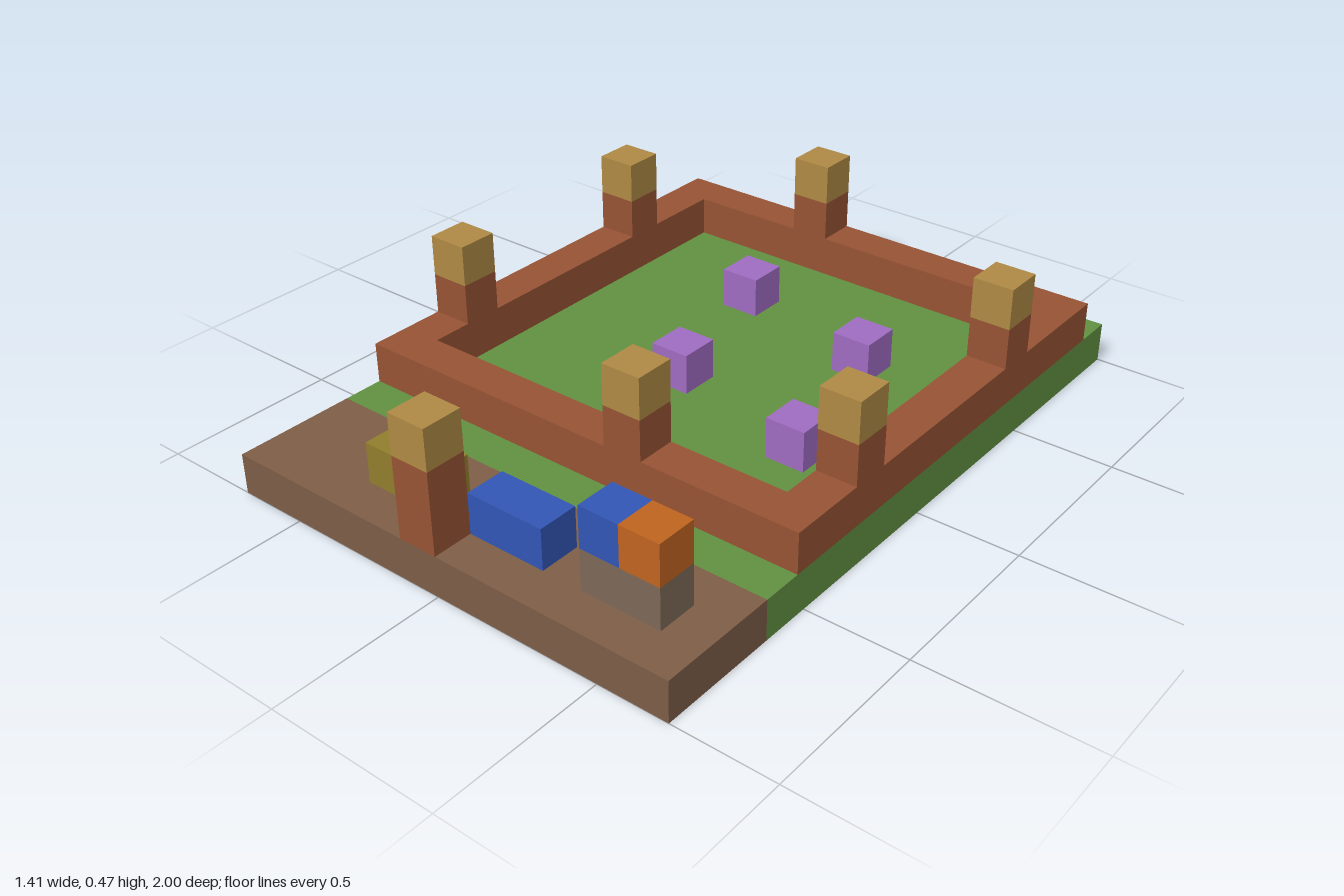
import * as THREE from 'three';

const U = 2 / 17; // one block

const mat = (name, color) => {
  const m = new THREE.MeshStandardMaterial({ color });
  m.name = name;
  return m;
};

export function createModel() {
  const grass = mat('grass', 0x629141);
  const dirt = mat('dirt', 0x7d5d47);
  const path = mat('path', 0x887042);
  const brick = mat('brick', 0x965334);
  const tan = mat('tan', 0xb08945);
  const olive = mat('olive', 0x917e2c);
  const blue = mat('blue', 0x3256b4);
  const orange = mat('orange', 0xc06420);
  const stone = mat('stone', 0x7c6857);
  const purple = mat('purple', 0xa06cc2);

  const model = new THREE.Group();
  model.name = 'walledGarden';

  // Box from its low corner and size, all in blocks
  const block = (name, material, x, y, z, w, h, d, parent = model) => {
    const mesh = new THREE.Mesh(new THREE.BoxGeometry(w * U, h * U, d * U), material);
    mesh.position.set((x + w / 2) * U, (y + h / 2) * U, (z + d / 2) * U);
    mesh.name = name;
    parent.add(mesh);
  };

  // Ground: dirt road in front, lawn, and a path patch at the back edge
  block('road', dirt, -6, 0, 5.5, 12, 1, 3);
  block('lawn', grass, -6, 0, -7.5, 12, 1, 13);
  block('backLawnRight', grass, -6, 0, -8.5, 5, 1, 1);
  block('backPath', path, -1, 0, -8.5, 3, 1, 1);
  block('backLawnLeft', grass, 2, 0, -8.5, 4, 1, 1);

  // Rectangular wall, one block thick
  const outline = new THREE.Shape();
  outline.moveTo(-6 * U, -4.5 * U).lineTo(6 * U, -4.5 * U).lineTo(6 * U, 7.5 * U).lineTo(-6 * U, 7.5 * U);
  const yard = new THREE.Path();
  yard.moveTo(-5 * U, -3.5 * U).lineTo(-5 * U, 6.5 * U).lineTo(5 * U, 6.5 * U).lineTo(5 * U, -3.5 * U);
  outline.holes.push(yard);
  const wall = new THREE.Mesh(
    new THREE.ExtrudeGeometry(outline, { depth: U, bevelEnabled: false }).rotateX(-Math.PI / 2), brick);
  wall.position.y = U;
  wall.name = 'wall';
  model.add(wall);

  // Lamp posts: brick shaft with a tan cap; the last one stands on the road
  const posts = [[-2, -7.5, 2], [1, 3.5, 2], [-1, 7.5, 1]];
  for (const x of [-6, 5]) for (const z of [-4.5, 1.5]) posts.push([x, z, 2]);
  for (const [x, z, base] of posts) {
    const post = new THREE.Group();
    post.name = 'post';
    block('shaft', brick, x, base, z, 1, 3 - base, 1, post);
    block('cap', tan, x, 3, z, 1, 1, 1, post);
    model.add(post);
  }

  // Flower cubes on the lawn
  for (const [x, z] of [[-2, -4.5], [2, -3.5], [-1, -0.5], [3, 0.5]]) {
    block('flower', purple, x, 1, z, 1, 1, 1);
  }

  // Objects along the road
  block('oliveCrate', olive, -3, 1, 6.5, 2, 1, 1);
  block('blueCrate', blue, 0, 1, 6.5, 2, 1, 1);
  block('pedestal', stone, 3, 1, 6.5, 2, 1, 1);
  block('pedestalBlueBox', blue, 3, 2, 6.5, 1, 1, 1);
  block('pedestalOrangeBox', orange, 4, 2, 6.5, 1, 1, 1);

  return model;
}
